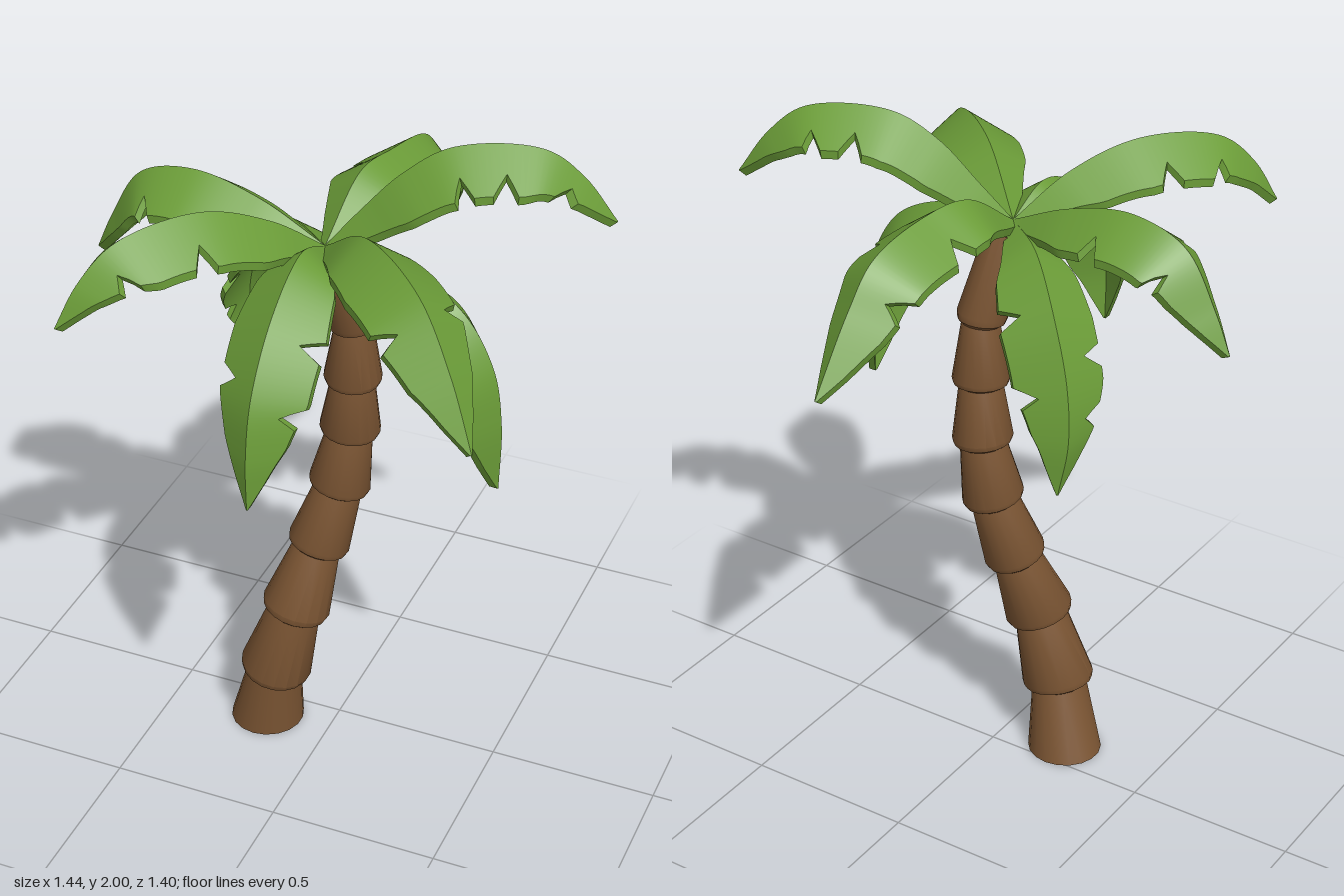
import * as THREE from 'three';
import { toCreasedNormals } from 'three/addons/utils/BufferGeometryUtils.js';

const V = (p) => new THREE.Vector3(...p);
const UP = new THREE.Vector3(0, 1, 0);

// Trunk axis: one knot at each overhanging ring, with the ring radius
const RINGS = [
  [-0.2, 0, 0.09, 0.11], [-0.16, 0.21, 0.115, 0.107], [-0.1, 0.44, 0.1, 0.102],
  [-0.05, 0.65, 0.045, 0.092], [0.0, 0.85, 0.005, 0.091], [0.027, 1.04, -0.01, 0.088],
  [0.04, 1.22, 0, 0.083], [0.045, 1.41, 0.01, 0.072], [0.01, 1.66, 0.075, 0.06],
];

// Fronds: spine points after the hub, then notch positions on the right and left edges
const HUB = [0, 1.69, 0.1];
const FRONDS = [
  { name: 'backFrond', right: [0.5], left: [0.38, 0.7],
    spine: [[0.02, 1.82, -0.1], [0.05, 1.82, -0.25], [0.07, 1.77, -0.46], [0.08, 1.66, -0.56], [0.09, 1.46, -0.7]] },
  { name: 'highLeftFrond', right: [0.46, 0.6, 0.82], left: [0.54, 0.68],
    spine: [[0.08, 1.79, 0.06], [0.19, 1.91, 0.02], [0.31, 1.985, -0.03], [0.53, 1.98, -0.12], [0.63, 1.9, -0.16], [0.72, 1.77, -0.19]] },
  { name: 'droopingLeftFrond', right: [0.4, 0.66], left: [0.34, 0.74],
    spine: [[0.2, 1.69, 0.11], [0.4, 1.6, 0.13], [0.5, 1.45, 0.14], [0.53, 1.28, 0.14], [0.525, 1.06, 0.13]] },
  { name: 'frontLeftFrond', right: [0.64], left: [0.6],
    spine: [[0.18, 1.83, 0.25], [0.4, 1.81, 0.44], [0.53, 1.67, 0.55], [0.62, 1.51, 0.63]] },
  { name: 'frontFrond', right: [0.6], left: [0.46, 0.7],
    spine: [[0, 1.75, 0.26], [0, 1.66, 0.45], [0, 1.49, 0.59], [0, 1.33, 0.63], [0, 1.17, 0.63]] },
  { name: 'frontRightFrond', right: [0.5, 0.7], left: [0.48, 0.76],
    spine: [[-0.1, 1.81, 0.23], [-0.23, 1.885, 0.38], [-0.38, 1.86, 0.57], [-0.45, 1.77, 0.65], [-0.5, 1.65, 0.7]] },
  { name: 'rightFrond', right: [0.38, 0.7], left: [0.62],
    spine: [[-0.2, 1.78, 0.08], [-0.4, 1.82, 0.065], [-0.57, 1.77, 0.05], [-0.67, 1.61, 0.045], [-0.72, 1.5, 0.04]] },
  { name: 'droopingBackFrond', right: [0.4, 0.68], left: [0.56, 0.76],
    spine: [[-0.15, 1.68, -0.02], [-0.28, 1.56, -0.13], [-0.36, 1.4, -0.19], [-0.385, 1.25, -0.22], [-0.36, 1.09, -0.23]] },
];

// Half width along a frond
const WIDTHS = [[0, 0.02], [0.1, 0.06], [0.25, 0.11], [0.42, 0.13], [0.65, 0.125], [0.8, 0.088], [0.92, 0.04], [1, 0.003]];

function widthAt(t, notches) {
  let i = 1;
  while (i < WIDTHS.length - 1 && t > WIDTHS[i][0]) i++;
  const [t0, w0] = WIDTHS[i - 1], [t1, w1] = WIDTHS[i];
  let w = w0 + (w1 - w0) * (t - t0) / (t1 - t0);
  for (const n of notches) w *= 1 - 0.42 * Math.max(0, 1 - Math.abs(t - n) / 0.04);
  return w;
}

// Folded leaf: a roof-shaped section with thickness, swept along the spine
function frondGeometry({ spine, right, left }) {
  const curve = new THREE.CatmullRomCurve3([HUB, ...spine].map(V), false, 'centripetal');
  const steps = 50, thick = 0.024, fold = 0.7;
  const pos = [], idx = [];
  // One sideways direction for the whole leaf keeps it from twisting
  const heading = V(spine[spine.length - 1]).sub(V(HUB)).setY(0).normalize();
  const side = heading.clone().cross(UP);
  for (let i = 0; i <= steps; i++) {
    const t = i / steps;
    const p = curve.getPointAt(t);
    const n = side.clone().cross(curve.getTangentAt(t)).normalize();
    const wl = widthAt(t, left), wr = widthAt(t, right);
    const section = [[-wl, -wl * fold], [0, 0], [wr, -wr * fold],
      [wr, -wr * fold - thick], [0, -thick], [-wl, -wl * fold - thick]];
    for (const [a, b] of section) {
      pos.push(...p.clone().addScaledVector(side, a).addScaledVector(n, b).toArray());
    }
    if (i === steps) break;
    for (let j = 0; j < 6; j++) {
      const a = i * 6 + j, b = i * 6 + (j + 1) % 6;
      idx.push(a, b, b + 6, a, b + 6, a + 6);
    }
  }
  // End caps
  const cap = [[0, 5, 4], [0, 4, 1], [1, 4, 3], [1, 3, 2]];
  for (const [a, b, c] of cap) {
    const e = steps * 6;
    idx.push(a, b, c, e + a, e + c, e + b);
  }
  const g = new THREE.BufferGeometry();
  g.setAttribute('position', new THREE.Float32BufferAttribute(pos, 3));
  g.setIndex(idx);
  return toCreasedNormals(g, 0.55);
}

// Trunk: a stepped lathe profile, measured in ring numbers, bent along the axis
function trunkGeometry() {
  const last = RINGS.length - 1;
  const profile = [[0, 0], [RINGS[0][3], 0]];
  for (let k = 1; k < last; k++) {
    const r = RINGS[k][3];
    profile.push([r * 0.77, k - 0.06], [r * 0.94, k - 0.01], [r, k + 0.07]);
  }
  profile.push([RINGS[last][3] * 0.9, last], [0, last]);
  const g = new THREE.LatheGeometry(profile.map(([r, u]) => new THREE.Vector2(r, u)), 18);
  const axis = new THREE.CatmullRomCurve3(RINGS.map(V));
  const pos = g.attributes.position, v = new THREE.Vector3(), q = new THREE.Quaternion();
  for (let i = 0; i < pos.count; i++) {
    v.fromBufferAttribute(pos, i);
    const t = v.y / last;
    v.y = 0;
    if (t > 0) v.applyQuaternion(q.setFromUnitVectors(UP, axis.getTangent(t)));
    v.add(axis.getPoint(t));
    pos.setXYZ(i, v.x, v.y, v.z);
  }
  return toCreasedNormals(g, 0.6);
}

export function createModel() {
  const bark = new THREE.MeshStandardMaterial({ color: 0x7b5533 });
  bark.name = 'bark brown';
  const leaf = new THREE.MeshStandardMaterial({ color: 0x6b9c38 });
  leaf.name = 'leaf green';

  const model = new THREE.Group();
  model.name = 'palmTree';

  const trunk = new THREE.Mesh(trunkGeometry(), bark);
  trunk.name = 'trunk';
  model.add(trunk);

  const crown = new THREE.Group();
  crown.name = 'crown';
  for (const f of FRONDS) {
    const frond = new THREE.Mesh(frondGeometry(f), leaf);
    frond.name = f.name;
    crown.add(frond);
  }
  model.add(crown);
  return model;
}
